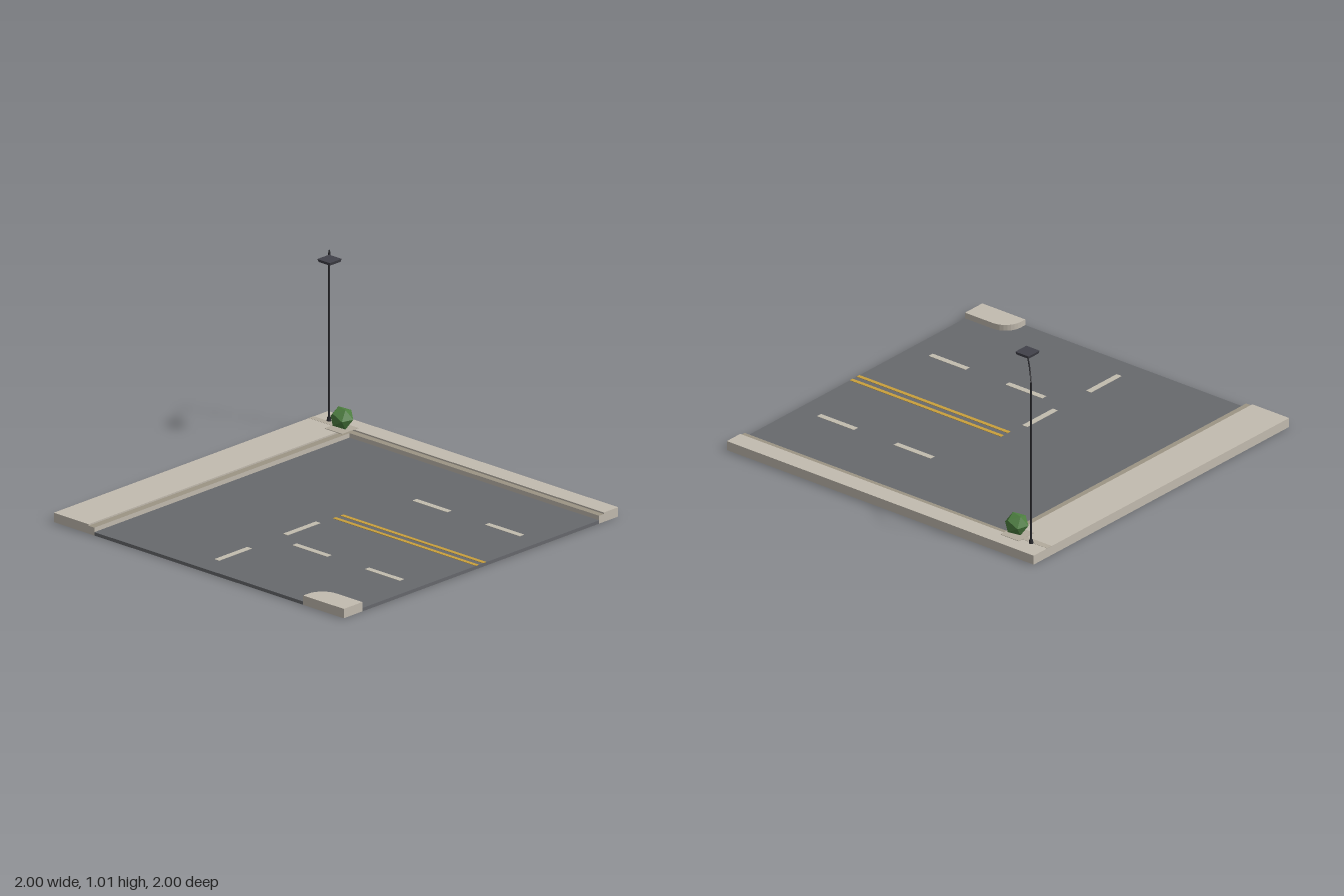
import * as THREE from 'three';

const mat = (name, color, side = THREE.FrontSide) => {
  const m = new THREE.MeshStandardMaterial({ color, side });
  m.name = name;
  return m;
};

export function createModel() {
  const model = new THREE.Group();
  model.name = 'streetCorner';

  const asphalt = mat('asphalt', 0x67696d);
  const concrete = mat('concrete', 0xc2bbaf, THREE.DoubleSide);
  const curbStone = mat('curbStone', 0x9c9484, THREE.DoubleSide);
  const wornConcrete = mat('wornConcrete', 0xb2ab9d);
  const whitePaint = mat('whitePaint', 0xc2bcae);
  const yellowPaint = mat('yellowPaint', 0xc89f3c);
  const darkMetal = mat('darkMetal', 0x29292d);
  const lampMetal = mat('lampMetal', 0x42424a);
  const leaves = mat('leaves', 0x4c7d3f);
  leaves.flatShading = true;

  const add = (name, geometry, material, x = 0, y = 0, z = 0, parent = model) => {
    const mesh = new THREE.Mesh(geometry, material);
    mesh.name = name;
    mesh.position.set(x, y, z);
    parent.add(mesh);
    return mesh;
  };

  // Ground outline given as x, z pairs
  const outline = (points) => new THREE.Shape(points.map(([x, z]) => new THREE.Vector2(x, -z)));
  const slab = (shape, height) =>
    new THREE.ExtrudeGeometry(shape, { depth: height, bevelEnabled: false, curveSegments: 8 }).rotateX(-Math.PI / 2);

  // Slab with an open underside: the first half of the lid triangles is the bottom
  const shell = (shape, height) => {
    const full = slab(shape, height);
    const lids = full.groups[0].count;
    const open = new THREE.BufferGeometry();
    for (const key of ['position', 'normal', 'uv']) {
      const a = full.attributes[key];
      open.setAttribute(key, new THREE.BufferAttribute(a.array.slice((lids / 2) * a.itemSize), a.itemSize));
    }
    open.addGroup(0, lids / 2, 0);
    open.addGroup(lids / 2, full.attributes.position.count - lids, 1);
    return open;
  };

  // Rounded corner shared by the road cut-out and the small pavement
  const corner = [[-1, 0.72]];
  for (let i = 0; i <= 8; i++) {
    const a = (i / 8) * Math.PI / 2;
    corner.push([-0.965 + 0.1 * Math.sin(a), 0.82 - 0.1 * Math.cos(a)]);
  }
  corner.push([-0.865, 1]);

  // Road
  add('road', slab(outline([[-1, -0.72], ...corner, [0.86, 1], [0.86, -0.72]]), 0.018), asphalt);

  // Pavements and the lower curb running along them
  const paving = [concrete, concrete];
  add('sidewalk', shell(outline([[-1, -1], [-1, -0.76], [0.895, -0.76], [0.895, 1], [1, 1], [1, -1]]), 0.05), paving);
  add('curb', shell(outline([[-1, -0.76], [-1, -0.72], [0.86, -0.72], [0.86, 1], [0.895, 1], [0.895, -0.76]]), 0.042),
    [curbStone, concrete]);
  add('roundedSidewalk', shell(outline([...corner, [-1, 1]]), 0.05), paving);

  // Thin flat plates: painted lines and worn paving
  const plate = (name, material, x0, x1, z0, z1, y) =>
    add(name, new THREE.BoxGeometry(x1 - x0, 0.002, z1 - z0), material, (x0 + x1) / 2, y, (z0 + z1) / 2);
  plate('pavingJoint', wornConcrete, 0.86, 0.895, -1, -0.76, 0.05);
  plate('planterBed', wornConcrete, 0.805, 0.925, -0.84, -0.72, 0.051);
  for (const x of [-0.75, -0.25]) plate('crossDash', whitePaint, x - 0.12, x + 0.12, -0.016, 0.016, 0.019);
  for (const x of [-0.44, 0.435]) {
    for (const z of [0.25, 0.75]) plate('laneDash', whitePaint, x - 0.016, x + 0.016, z - 0.12, z + 0.12, 0.019);
  }
  for (const x of [-0.027, 0.026]) plate('centreLine', yellowPaint, x - 0.011, x + 0.011, 0.015, 1, 0.019);

  // Street lamp, its arm reaching diagonally over the road
  const lamp = new THREE.Group();
  lamp.name = 'streetLamp';
  model.add(lamp);
  add('lampBase', new THREE.CylinderGeometry(0.009, 0.012, 0.02, 8), darkMetal, 0.9, 0.06, -0.9, lamp);
  add('lampPole', new THREE.CylinderGeometry(0.005, 0.005, 0.9, 8), darkMetal, 0.9, 0.5, -0.9, lamp);
  const arm = new THREE.CatmullRomCurve3(
    [[0, 0.948], [0.03, 0.976], [0.065, 0.993], [0.1, 0.999], [0.14, 1]]
      .map(([d, y]) => new THREE.Vector3(0.9 - d, y, -0.9 + d)));
  add('lampArm', new THREE.TubeGeometry(arm, 12, 0.004, 6), darkMetal, 0, 0, 0, lamp);
  const head = new THREE.CylinderGeometry(0.0615, 0.055, 0.016, 4, 1).rotateY(Math.PI / 4).toNonIndexed();
  head.computeVertexNormals();
  add('lampHead', head, lampMetal, 0.728, 0.998, -0.733, lamp);

  // Shrub
  const shrub = add('shrub', new THREE.IcosahedronGeometry(0.064, 0), leaves, 0.866, 0.107, -0.778);
  shrub.rotation.y = 1.3;
  shrub.scale.y = 0.95;

  return model;
}
